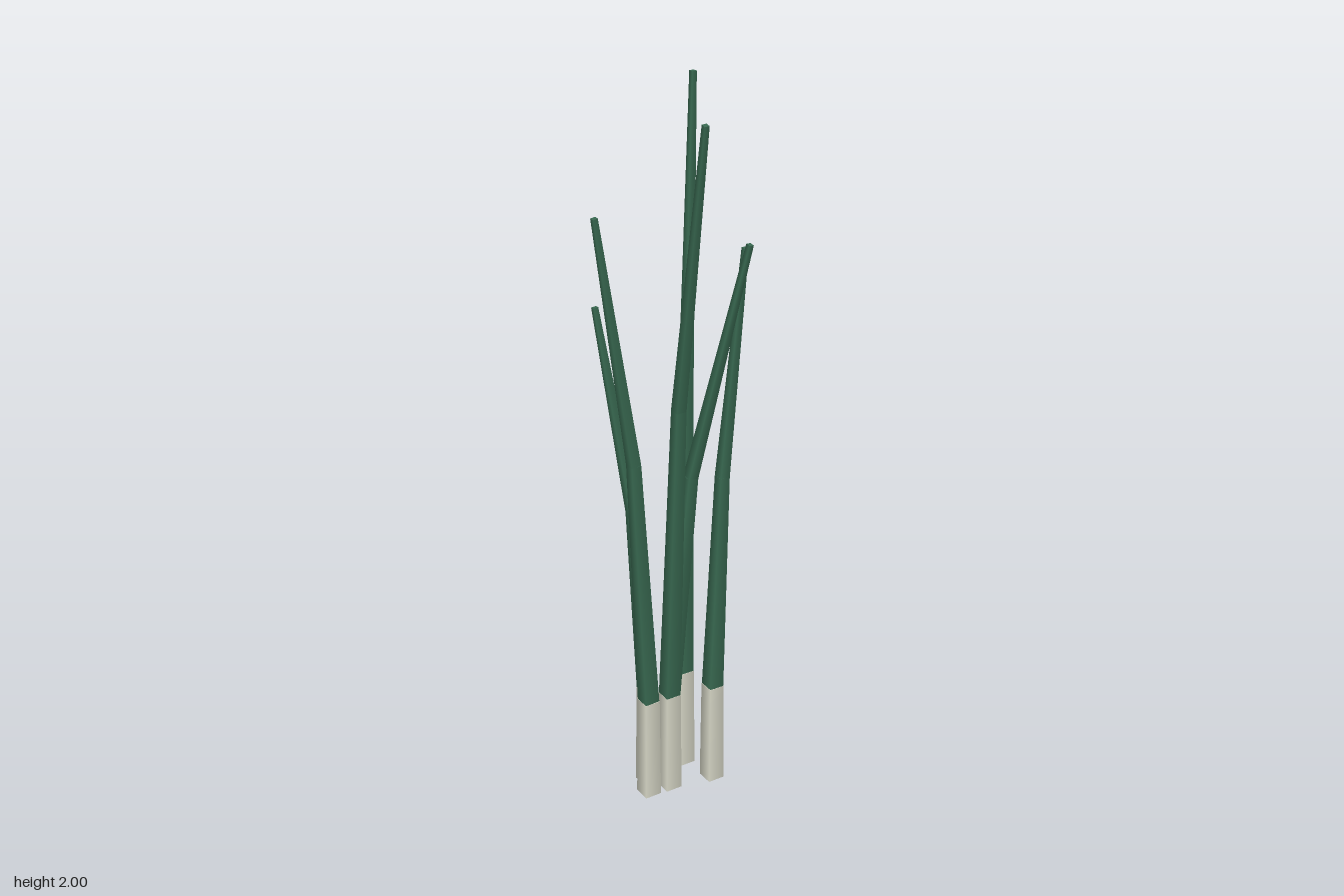
import * as THREE from 'three';

const white = new THREE.MeshStandardMaterial({ color: 0xd4d4c4 });
white.name = 'pale stem';
const green = new THREE.MeshStandardMaterial({ color: 0x386850 });
green.name = 'leaf green';

const UP = new THREE.Vector3(0, 1, 0);

// Four-sided tapered rod from a to b
function rod(name, a, b, ra, rb, material) {
  const dir = b.clone().sub(a);
  const mesh = new THREE.Mesh(new THREE.CylinderGeometry(rb, ra, dir.length(), 4), material);
  mesh.position.copy(a).add(b).multiplyScalar(0.5);
  mesh.quaternion.setFromUnitVectors(UP, dir.normalize());
  mesh.name = name;
  return mesh;
}

// Root x, z, then tip x, y, z of each stalk
const stalks = [
  [0.01, -0.105, 0.014, 2.0, -0.18],
  [0.105, -0.05, 0.168, 1.585, -0.09],
  [0.0, 0.02, 0.2, 1.64, 0.02],
  [0.0, 0.02, 0.121, 1.99, 0.18],
  [-0.049, 0.063, -0.153, 1.73, 0.158],
  [-0.065, 0.009, -0.201, 1.42, -0.015],
];

export function createModel() {
  const model = new THREE.Group();
  model.name = 'leafStalks';
  const stemTop = 0.305;

  for (const [x, z, tx, ty, tz] of stalks) {
    const stalk = new THREE.Group();
    stalk.name = 'stalk';
    const root = new THREE.Vector3(x, 0, z);
    const neck = new THREE.Vector3(x, stemTop, z);
    const tip = new THREE.Vector3(tx, ty, tz);
    // The leaf bends outward at 60% of its height
    const bend = root.clone().lerp(tip, 0.28).setY(ty * 0.6);

    stalk.add(
      rod('stem', root, neck, 0.034, 0.031, white),
      rod('lowerLeaf', neck, bend, 0.03, 0.02, green),
      rod('upperLeaf', bend, tip, 0.02, 0.0095, green),
    );
    model.add(stalk);
  }
  return model;
}
